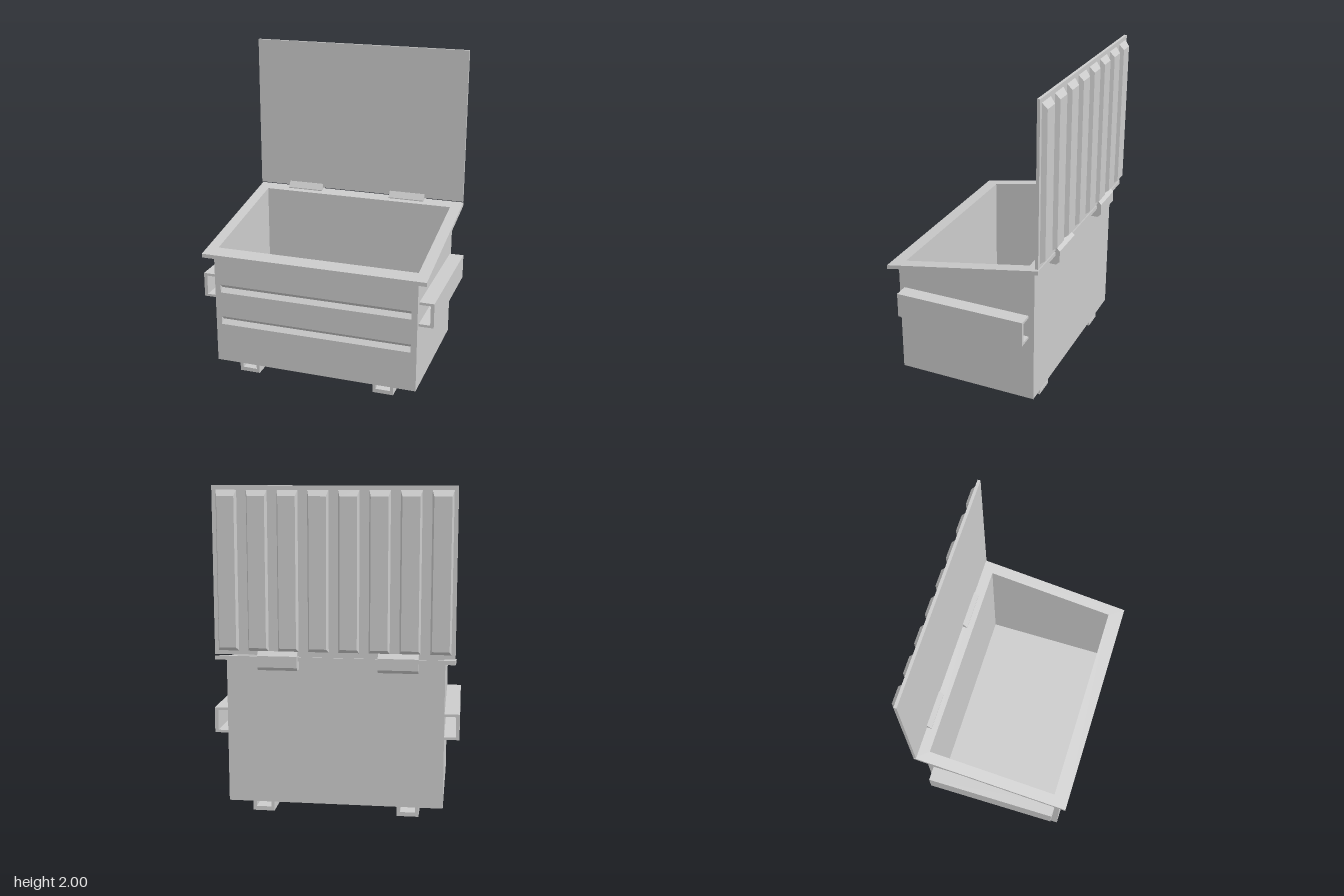
import * as THREE from 'three';

const material = new THREE.MeshStandardMaterial({ color: 0xcccccc, side: THREE.DoubleSide });

// Height of the sloping rim's top surface at depth z
const rimTop = (z) => 0.81 + (0.513 - z) * 0.178;
const RIM = 0.025;
const BASE = 0.065;

export function createModel() {
  const model = new THREE.Group();

  const add = (name, geometry, parent = model) => {
    const mesh = new THREE.Mesh(geometry, material);
    mesh.name = name;
    parent.add(mesh);
    return mesh;
  };

  const shapeOf = (points) => new THREE.Shape(points.map(([a, b]) => new THREE.Vector2(a, b)));

  // Extrude a (z, y) outline across x from x0 to x1
  const acrossX = (points, x0, x1) =>
    new THREE.ExtrudeGeometry(shapeOf(points), { depth: x1 - x0, bevelEnabled: false })
      .rotateY(-Math.PI / 2).translate(x1, 0, 0);

  // Extrude an (x, y) outline along z from z0 to z1
  const alongZ = (points, z0, z1) =>
    new THREE.ExtrudeGeometry(shapeOf(points), { depth: z1 - z0, bevelEnabled: false })
      .translate(0, 0, z0);

  // Wall outline reaching up to the underside of the rim
  const wall = (z0, z1) => [
    [z0, BASE], [z1, BASE], [z1, rimTop(z1) - RIM], [z0, rimTop(z0) - RIM],
  ];

  // Bin body
  const body = new THREE.Group();
  body.name = 'body';
  model.add(body);
  const front = 0.466, back = -0.436, inFront = 0.42, inBack = -0.4;
  for (const s of [-1, 1]) {
    add('sideWall', acrossX(wall(back, front), s > 0 ? 0.648 : -0.66, s > 0 ? 0.66 : -0.648), body);
    add('frontWallEnd', acrossX(wall(inFront, front), s > 0 ? 0.623 : -0.648, s > 0 ? 0.648 : -0.623), body);
  }
  add('backWall', acrossX(wall(back, inBack), -0.648, 0.648), body);
  add('floor', new THREE.BoxGeometry(1.296, 0.03, inFront - inBack)
    .translate(0, BASE + 0.015, (inFront + inBack) / 2), body);

  // Front wall with two V-shaped grooves
  const grooved = [[inFront, BASE], [front, BASE]];
  for (const y of [0.349, 0.568]) {
    grooved.push([front, y - 0.027], [front - 0.027, y], [front, y + 0.027]);
  }
  grooved.push([front, rimTop(front) - RIM], [inFront, rimTop(inFront) - RIM]);
  add('groovedFrontWall', acrossX(grooved, -0.623, 0.623), body);

  // Sloping rim: a flat frame sheared to follow the slope
  const frame = shapeOf([[-0.72, -0.513], [0.72, -0.513], [0.72, 0.482], [-0.72, 0.482]]);
  frame.holes.push(shapeOf([
    [-0.648, -inFront], [-0.648, -inBack], [0.648, -inBack], [0.648, -inFront],
  ]));
  const rim = new THREE.ExtrudeGeometry(frame, { depth: RIM, bevelEnabled: false }).rotateX(-Math.PI / 2);
  const p = rim.attributes.position;
  for (let i = 0; i < p.count; i++) p.setY(i, p.getY(i) - RIM + rimTop(p.getZ(i)));
  rim.computeVertexNormals();
  add('rim', rim);

  // Side lifting channels and skids under the floor
  for (const s of [-1, 1]) {
    add('sideChannel', alongZ([
      [0.66, 0.487], [0.752, 0.487], [0.752, 0.645], [0.66, 0.645],
      [0.66, 0.629], [0.73, 0.629], [0.73, 0.503], [0.66, 0.503],
    ].map(([x, y]) => [s * x, y]), -0.4, 0.433));
    add('skid', alongZ([
      [0.38, BASE], [0.38, 0], [0.513, 0], [0.513, BASE],
      [0.493, BASE], [0.493, 0.026], [0.4, 0.026], [0.4, BASE],
    ].map(([x, y]) => [s * x, y]), -0.418, 0.445));
  }

  // Raised lid with tapered ribs on its outer side
  const lid = new THREE.Group();
  lid.name = 'lid';
  model.add(lid);
  add('lidPanel', new THREE.BoxGeometry(1.44, 1.003, 0.018).translate(0, 1.4985, -0.473), lid);
  for (let i = 0; i < 8; i++) {
    const rib = new THREE.BoxGeometry(0.125, 0.955, 0.03);
    const q = rib.attributes.position;
    for (let k = 0; k < q.count; k++) {
      if (q.getZ(k) < 0) {
        q.setX(k, q.getX(k) * 0.82);
        q.setY(k, q.getY(k) > 0 ? 0.441 : -0.455);
      }
    }
    rib.computeVertexNormals();
    add('lidRib', rib.translate((i - 3.5) * 0.181, 1.4975, -0.496), lid);
  }

  // Hinges joining lid and rim
  for (const x of [-0.385, 0.337]) {
    add('hinge', acrossX([
      [-0.436, 0.905], [-0.436, 0.985], [-0.463, 1.023], [-0.48, 1.023],
      [-0.509, 0.995], [-0.509, 0.926], [-0.487, 0.905],
    ], x - 0.12, x + 0.12));
  }
  return model;
}
